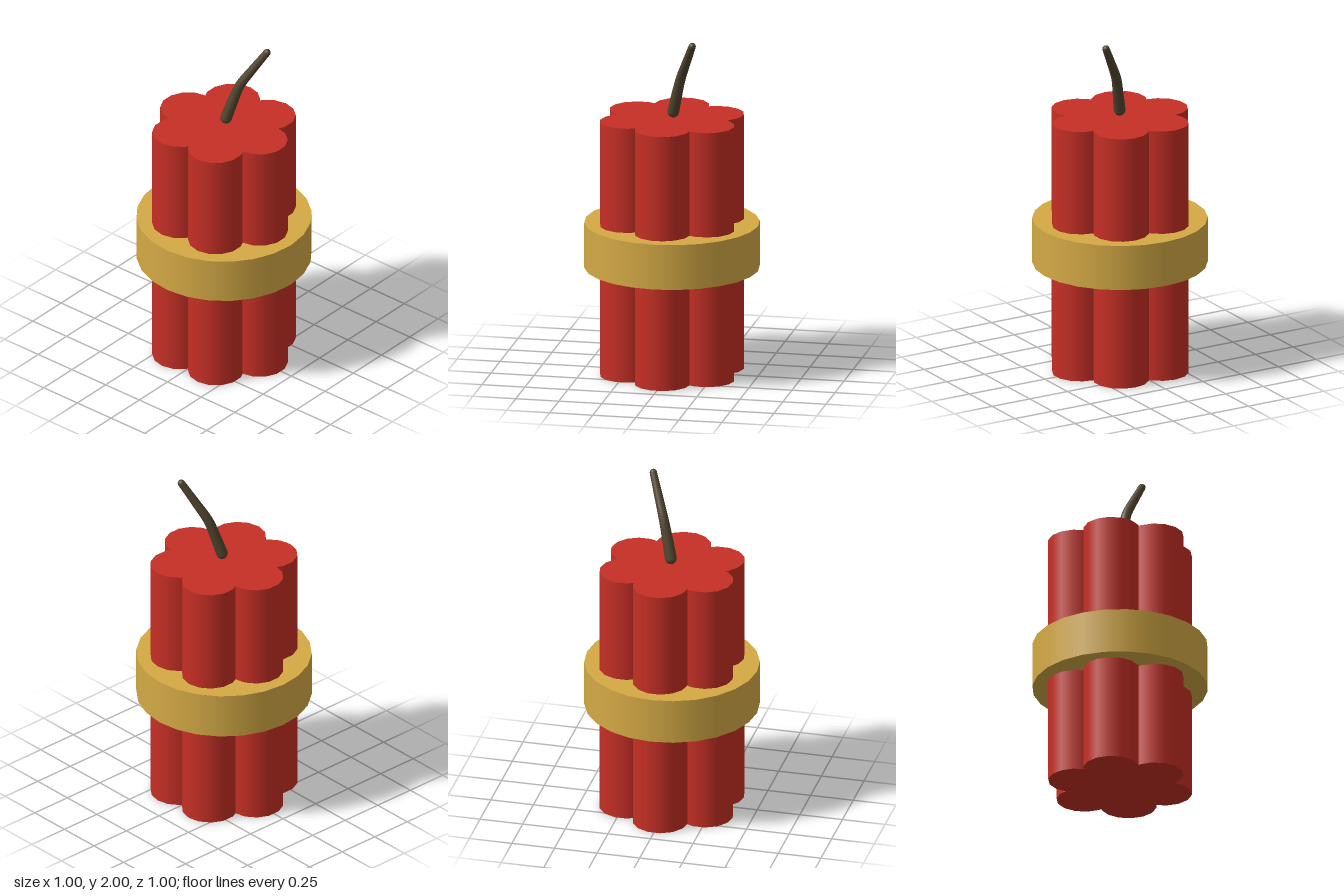
import * as THREE from 'three';

const red = new THREE.MeshStandardMaterial({ name: 'red paper', color: 0xc62f25 });
const gold = new THREE.MeshStandardMaterial({ name: 'gold band', color: 0xd5aa45 });
const dark = new THREE.MeshStandardMaterial({ name: 'dark cord', color: 0x51452f });

function add(parent, name, geometry, material, x = 0, y = 0, z = 0) {
  const mesh = new THREE.Mesh(geometry, material);
  mesh.name = name;
  mesh.position.set(x, y, z);
  parent.add(mesh);
  return mesh;
}

// Tapered cord along a curve, with rounded ends
function buildFuse() {
  const fuse = new THREE.Group();
  fuse.name = 'fuse';
  const r0 = 0.034, r1 = 0.021, rings = 24, sides = 16;
  const path = new THREE.CatmullRomCurve3([
    new THREE.Vector3(0.008, 1.538, -0.009),
    new THREE.Vector3(0.033, 1.64, -0.034),
    new THREE.Vector3(0.063, 1.75, -0.064),
    new THREE.Vector3(0.121, 1.86, -0.108),
    new THREE.Vector3(0.188, 1.979, -0.157),
  ]);
  const cord = new THREE.TubeGeometry(path, rings, r0, sides);
  const pos = cord.attributes.position;
  const v = new THREE.Vector3();
  for (let i = 0; i <= rings; i++) {
    const centre = path.getPointAt(i / rings);
    const scale = THREE.MathUtils.lerp(1, r1 / r0, i / rings);
    for (let j = 0; j <= sides; j++) {
      const k = i * (sides + 1) + j;
      v.fromBufferAttribute(pos, k).sub(centre).multiplyScalar(scale).add(centre);
      pos.setXYZ(k, v.x, v.y, v.z);
    }
  }
  add(fuse, 'fuseCord', cord, dark);
  const a = path.getPointAt(0), b = path.getPointAt(1);
  add(fuse, 'fuseBase', new THREE.SphereGeometry(r0, 16, 12), dark, a.x, a.y, a.z);
  add(fuse, 'fuseTip', new THREE.SphereGeometry(r1, 16, 12), dark, b.x, b.y, b.z);
  return fuse;
}

export function createModel() {
  const model = new THREE.Group();
  model.name = 'stickBundle';

  // Six sticks around a central one
  const stick = new THREE.CylinderGeometry(0.16, 0.16, 1.5, 14);
  add(model, 'centreStick', stick, red, 0, 0.75, 0);
  for (let i = 0; i < 6; i++) {
    const a = (i * Math.PI) / 3;
    add(model, 'outerStick', stick, red, 0.265 * Math.cos(a), 0.75, 0.265 * Math.sin(a));
  }

  // Band holding the bundle
  add(model, 'band', new THREE.CylinderGeometry(0.5, 0.5, 0.265, 24), gold, 0, 0.752, 0);

  model.add(buildFuse());
  return model;
}
